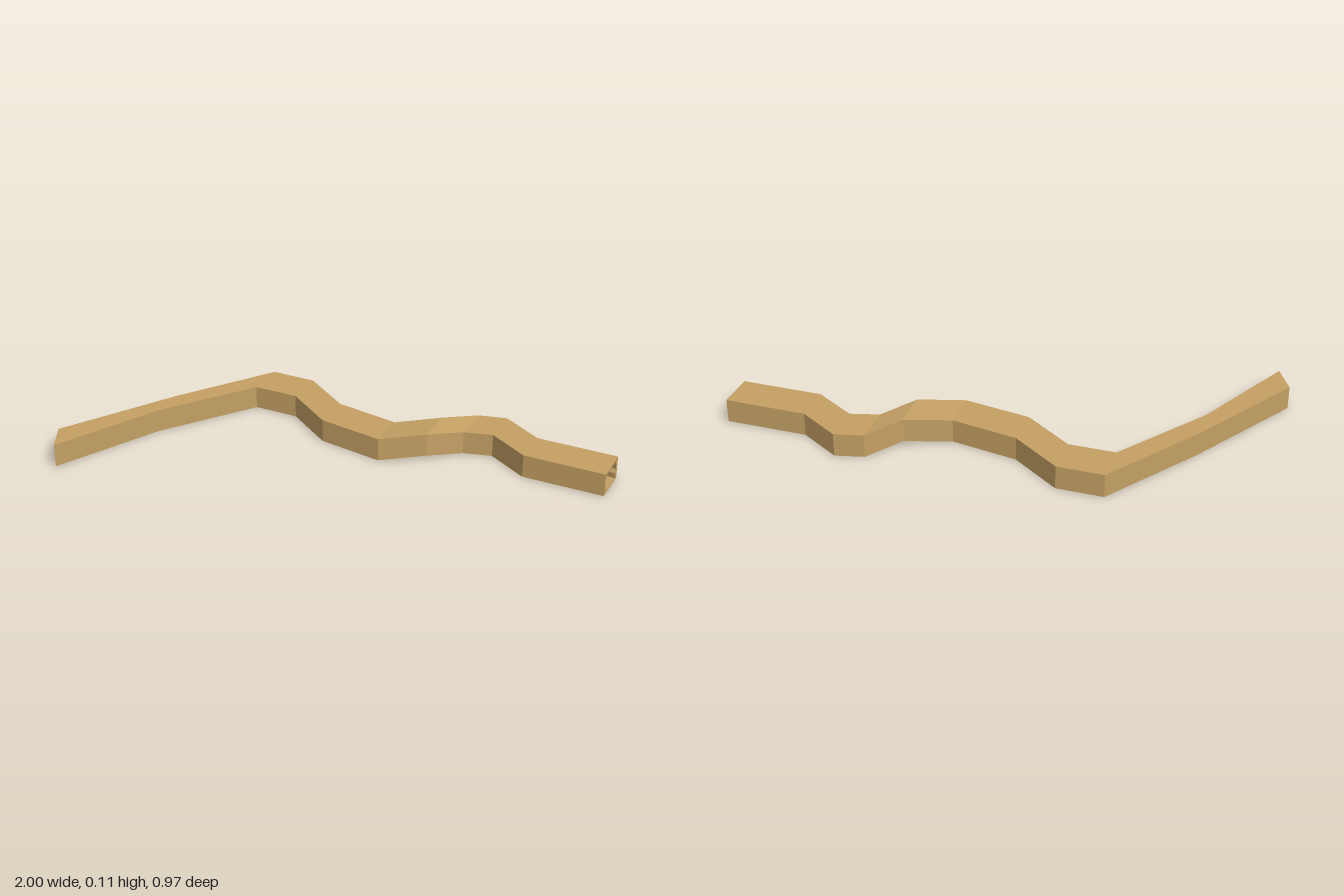
import * as THREE from 'three';

// Stations along the passage: left wall [x, z], right wall [x, z], lift
const stations = [
  [-0.94, 0.485, -1, 0.37, 0],
  [-0.74, 0.07, -0.74, -0.07, 0],
  [-0.49, -0.285, -0.49, -0.44, 0],
  [-0.31, -0.285, -0.31, -0.44, 0],
  [-0.12, -0.15, -0.12, -0.305, 0],
  [0.14, -0.107, 0.14, -0.26, 0],
  [0.305, -0.19, 0.305, -0.345, 0.02],
  [0.41, -0.305, 0.41, -0.46, 0],
  [0.52, -0.335, 0.52, -0.487, 0],
  [0.68, -0.237, 0.68, -0.388, 0],
  [1, -0.237, 1, -0.388, 0],
];
const HEIGHT = 0.092;

// Cross-sections: [across (-0.5 right .. 0.5 left), height]
const box = [[0.5, 0], [-0.5, 0], [-0.5, HEIGHT], [0.5, HEIGHT]];
const cave = [[0.31, 0.005], [-0.41, 0.005], [-0.38, 0.028], [-0.43, 0.044],
  [-0.35, 0.083], [0.33, 0.083], [0.47, 0.055], [0.38, 0.03]];

let seed = 7;
const random = () => (seed = (seed * 16807) % 2147483647) / 2147483647;

// Place a cross-section at a station
function ring(s, section) {
  return section.map(([u, v]) => new THREE.Vector3(
    THREE.MathUtils.lerp(s[2], s[0], u + 0.5), v + s[4],
    THREE.MathUtils.lerp(s[3], s[1], u + 0.5)));
}

// Join consecutive rings with faceted quads
function loft(rings, inward) {
  const pos = [];
  const tri = (a, b, c) => {
    for (const p of inward ? [a, c, b] : [a, b, c]) pos.push(p.x, p.y, p.z);
  };
  for (let i = 0; i < rings.length - 1; i++) {
    const n = rings[i].length;
    for (let j = 0; j < n; j++) {
      const k = (j + 1) % n;
      tri(rings[i][j], rings[i][k], rings[i + 1][k]);
      tri(rings[i][j], rings[i + 1][k], rings[i + 1][j]);
    }
  }
  // Closed far end
  const r = rings[0];
  for (let j = 1; j < r.length - 1; j++) tri(r[0], r[j + 1], r[j]);
  const geo = new THREE.BufferGeometry();
  geo.setAttribute('position', new THREE.Float32BufferAttribute(pos, 3));
  geo.computeVertexNormals();
  return geo;
}

export function createModel() {
  const group = new THREE.Group();
  group.name = 'tunnel';
  const material = new THREE.MeshStandardMaterial({
    color: 0xc4a064, flatShading: true, side: THREE.DoubleSide,
  });
  const add = (name, geo) => {
    const mesh = new THREE.Mesh(geo, material);
    mesh.name = name;
    group.add(mesh);
    return mesh;
  };

  // Square outer casing
  add('outerShell', loft(stations.map((s) => ring(s, box)), false));

  // Rough inner passage, each ring slightly narrowed at random
  const rings = [];
  for (let i = 0; i < stations.length - 1; i++) {
    for (let k = 0; k < 3; k++) {
      const s = stations[i].map((v, c) => THREE.MathUtils.lerp(v, stations[i + 1][c], k / 3));
      rings.push(ring(s, cave.map(([u, v]) => [
        u * (0.75 + 0.27 * random()),
        v < 0.01 ? v + 0.008 * random() : v * (0.88 + 0.12 * random()),
      ])));
    }
  }
  const end = stations[stations.length - 1];
  rings.push(ring(end, cave));
  add('innerPassage', loft(rings, true));

  // Rim around the open mouth
  const flat = (section) => ring(end, section).map((p) => new THREE.Vector2(-p.z, p.y));
  const rimShape = new THREE.Shape(flat(box));
  rimShape.holes.push(new THREE.Path(flat(cave)));
  const rim = add('mouthRim', new THREE.ShapeGeometry(rimShape));
  rim.rotation.y = Math.PI / 2;
  rim.position.x = end[0];

  return group;
}
